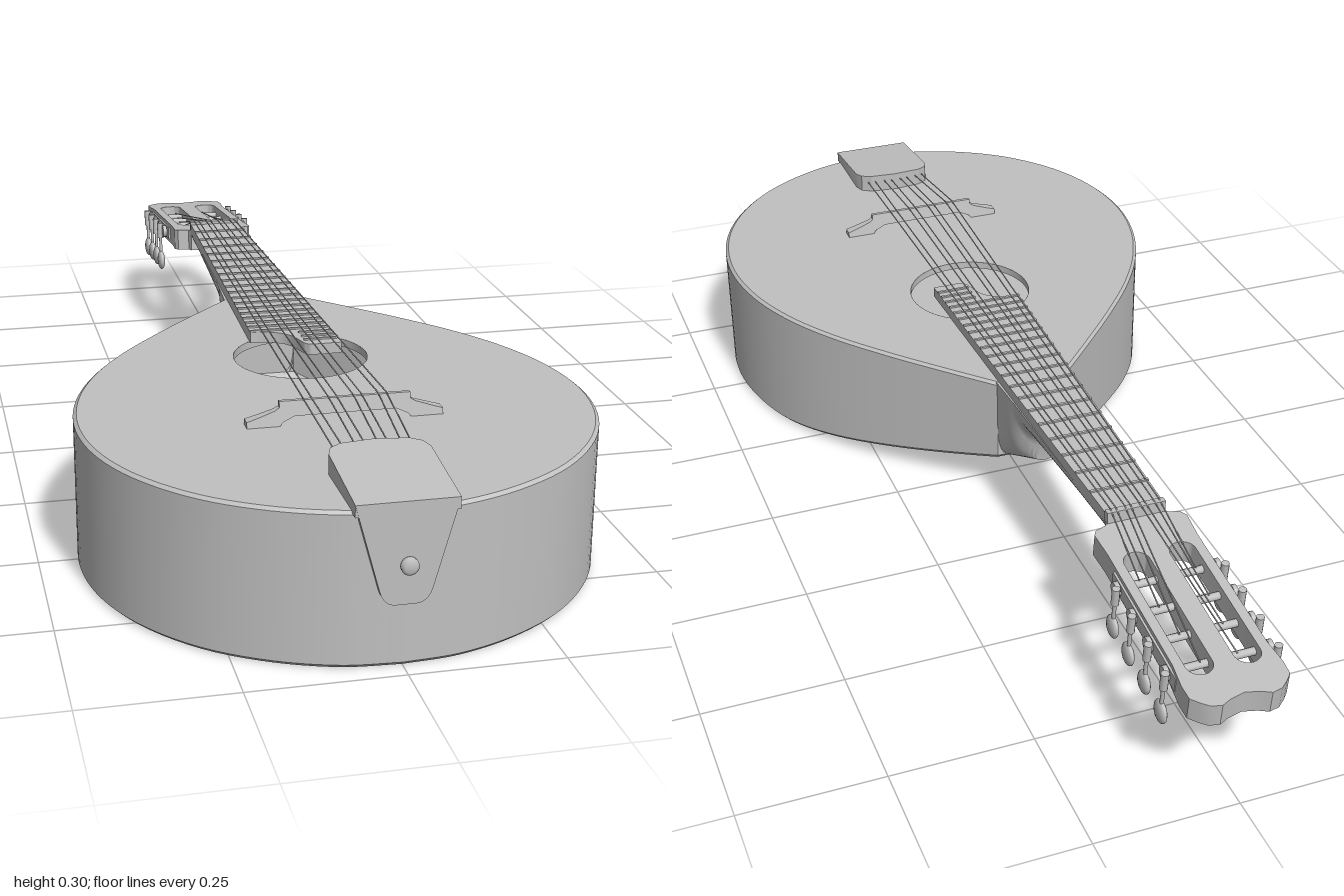
import * as THREE from 'three';
import { toCreasedNormals } from 'three/addons/utils/BufferGeometryUtils.js';

const V = (x, y, z) => new THREE.Vector3(x, y, z);

export function createModel() {
  const model = new THREE.Group();
  const grey = new THREE.MeshStandardMaterial({ color: 0xc0c0c0, side: THREE.DoubleSide });
  grey.name = 'plain grey';

  function add(name, geo, parent = model, x = 0, y = 0, z = 0) {
    const mesh = new THREE.Mesh(geo, grey);
    mesh.name = name;
    mesh.position.set(x, y, z);
    parent.add(mesh);
    return mesh;
  }
  // skin between rings of equal length
  function loft(rings, closed, crease = 0.6) {
    const n = rings[0].length, idx = [];
    for (let r = 0; r < rings.length - 1; r++)
      for (let i = 0; i < (closed ? n : n - 1); i++) {
        const a = r * n + i, b = r * n + (i + 1) % n;
        idx.push(a, a + n, b, b, a + n, b + n);
      }
    const geo = new THREE.BufferGeometry().setFromPoints(rings.flat());
    geo.setIndex(idx);
    geo.computeVertexNormals();
    return toCreasedNormals(geo, crease);
  }
  // shape seen from above, points given as [x, z]
  const plan = pts => new THREE.Shape(pts.map(p => new THREE.Vector2(p[0], -p[1])));
  const slab = (shape, y, depth) => {
    const geo = new THREE.ExtrudeGeometry(shape, { depth, bevelEnabled: false, curveSegments: 16 });
    return toCreasedNormals(geo.rotateX(-Math.PI / 2).translate(0, y, 0), 0.6);
  };
  const mirrored = half => half.concat(half.filter(p => p[0] > 0).reverse().map(p => [-p[0], p[1]]));
  const rod = (a, b, radius, sides = 6) =>
    new THREE.TubeGeometry(new THREE.LineCurve3(a, b), 1, radius, sides, false);

  // ---- body: teardrop with a back that rises toward the neck
  const TOP = 0.256;
  const half = new THREE.CatmullRomCurve3([
    [0.07, -0.08], [0.145, 0], [0.235, 0.1], [0.315, 0.2], [0.376, 0.3], [0.418, 0.41], [0.435, 0.53],
    [0.42, 0.65], [0.373, 0.76], [0.29, 0.86], [0.19, 0.926], [0.09, 0.962], [0, 0.971],
  ].map(p => V(p[0], 0, p[1]))).getPoints(60).map(p => [Math.max(p.x, 0), p.z]);
  half[60][0] = 0;
  const outline = mirrored(half);
  const backY = z => 0.088 * Math.max(0, (0.35 - z) / 0.43) ** 1.5;
  const inset = ([x, z]) => [x * 0.986, 0.5 + (z - 0.5) * 0.988];
  const rim = outline.map(inset);
  add('bodySides', loft([
    rim.map(([x, z]) => V(x, backY(z), z)),
    outline.map(([x, z]) => V(x, backY(z) + 0.006, z)),
    outline.map(([x, z]) => V(x, TOP - 0.005, z)),
    rim.map(([x, z]) => V(x, TOP, z)),
  ], true));
  const halfRim = half.map(inset);
  add('bodyBack', loft([
    halfRim.map(([x, z]) => V(x, backY(z), z)),
    halfRim.map(([x, z]) => V(-x, backY(z), z)),
  ], false));

  // ---- soundboard with round sound hole
  const board = plan(rim);
  board.holes.push(new THREE.Path().absarc(0, -0.28, 0.12, 0, Math.PI * 2, true));
  const boardGeo = new THREE.ShapeGeometry(board, 40);
  add('soundboard', boardGeo.rotateX(-Math.PI / 2), model, 0, TOP, 0);
  add('soundHoleRim', new THREE.CylinderGeometry(0.12, 0.12, 0.014, 48, 1, true), model, 0, TOP - 0.007, 0.28);

  // ---- neck and heel: [z, half width, underside y, squareness]
  const sections = [
    [-0.57, 0.052, 0.23, 2], [-0.45, 0.055, 0.219, 2], [-0.3, 0.061, 0.205, 2], [-0.22, 0.064, 0.196, 2],
    [-0.185, 0.065, 0.188, 2], [-0.165, 0.066, 0.172, 2], [-0.155, 0.066, 0.148, 2],
    [-0.15, 0.067, 0.112, 2], [-0.125, 0.068, 0.102, 2.6], [-0.075, 0.071, 0.088, 7],
  ];
  add('neck', loft(sections.map(([z, w, y, n]) => Array.from({ length: 25 }, (_, i) => {
    const a = Math.PI * i / 24, c = Math.cos(a), s = Math.abs(Math.sin(a));
    return V(w * Math.sign(c) * Math.abs(c) ** (2 / n), TOP - (TOP - y) * s ** (2 / n), z);
  })), true, 0.9));

  // ---- fretboard with a stepped, curved end
  const NUT = -0.56, BRIDGE = 0.6;
  const boardHalf = z => 0.052 + (z - NUT) * 0.029;
  const end = plan([[-0.052, NUT], [0.052, NUT], [boardHalf(0.28), 0.28], [0.022, 0.28]]);
  end.bezierCurveTo(0.0, -0.28, 0.012, -0.225, -0.025, -0.205);
  end.quadraticCurveTo(-0.05, -0.19, -boardHalf(0.19), -0.195);
  add('fretboard', slab(end, TOP, 0.02));
  for (let n = 1; n <= 21; n++) {
    const z = NUT + (BRIDGE - NUT) * (1 - 2 ** (-n / 12));
    const left = z > 0.19 ? 0.012 : -boardHalf(z), right = boardHalf(z);
    add('fret', new THREE.BoxGeometry(right - left, 0.004, 0.005), model, (left + right) / 2, 0.277, z);
  }
  add('nut', new THREE.BoxGeometry(0.106, 0.028, 0.012), model, 0, 0.268, NUT - 0.004);

  // ---- slotted headstock, tilted back
  const TILT = 0.112;
  const head = new THREE.Group();
  head.name = 'headstock';
  head.position.set(0, 0.262, NUT);
  head.rotation.x = -TILT;
  model.add(head);
  const headShape = plan(mirrored([
    [0.052, 0], [0.056, -0.012], [0.078, -0.02], [0.084, -0.03], [0.081, -0.08], [0.081, -0.34], [0.086, -0.385],
    [0.085, -0.412], [0.074, -0.424], [0.06, -0.436], [0.042, -0.44], [0.025, -0.432], [0, -0.426],
  ]));
  for (const s of [-1, 1]) {
    const slot = new THREE.Path();
    slot.absarc(s * 0.041, 0.35, 0.023, 0, Math.PI, false);
    slot.absarc(s * 0.041, 0.11, 0.023, Math.PI, Math.PI * 2, false);
    headShape.holes.push(slot);
  }
  add('headstockPlate', slab(headShape, -0.043, 0.043), head);

  // ---- tuning machines
  const pegZ = [-0.14, -0.205, -0.27, -0.335];
  for (const s of [-1, 1]) {
    add('tunerPlate', new THREE.BoxGeometry(0.004, 0.026, 0.25), head, s * 0.083, -0.021, -0.238);
    for (const z of pegZ) {
      add('tunerRoller', rod(V(s * 0.012, -0.02, z), V(s * 0.09, -0.02, z), 0.007, 10), head);
      add('tunerGear', new THREE.CylinderGeometry(0.013, 0.013, 0.008, 12).rotateZ(Math.PI / 2),
        head, s * 0.09, -0.02, z);
      add('tunerWorm', new THREE.CylinderGeometry(0.007, 0.007, 0.034, 10), head, s * 0.097, -0.02, z - 0.015);
      add('tunerShaft', rod(V(s * 0.097, -0.03, z - 0.015), V(s * 0.097, -0.075, z - 0.015), 0.0035), head);
      const knob = new THREE.SphereGeometry(1, 16, 10).scale(0.008, 0.021, 0.02);
      add('tunerKnob', knob, head, s * 0.097, -0.088, z - 0.015);
    }
  }

  // ---- bridge, raised between two feet
  const bridge = new THREE.Shape(mirrored([
    [0, 0.271], [0.085, 0.271], [0.105, 0.262], [0.11, TOP], [0.165, TOP], [0.165, 0.266],
    [0.145, 0.272], [0.118, 0.281], [0.11, 0.286], [0.11, 0.296], [0, 0.296],
  ]).map(p => new THREE.Vector2(...p)));
  const bridgeGeo = new THREE.ExtrudeGeometry(bridge, { depth: 0.024, bevelEnabled: false });
  // narrow the bridge toward its top edge
  const bp = bridgeGeo.attributes.position;
  for (let i = 0; i < bp.count; i++) {
    const k = 1 - 0.7 * (bp.getY(i) - TOP) / 0.04;
    bp.setZ(i, (bp.getZ(i) - 0.012) * k);
  }
  add('bridge', toCreasedNormals(bridgeGeo, 0.5), model, 0, 0, BRIDGE);

  // ---- tailpiece: sloped cover, hanging tab and strap button
  const cover = plan(mirrored([
    [0.08, 0.978], [0.081, 0.82], [0.074, 0.8], [0.055, 0.788], [0, 0.782],
  ]));
  const coverGeo = slab(cover, TOP - 0.004, 0.02);
  const cp = coverGeo.attributes.position;
  for (let i = 0; i < cp.count; i++)
    if (cp.getY(i) > TOP) cp.setY(i, 0.272 + (0.978 - cp.getZ(i)) * 0.105);
  add('tailpieceCover', toCreasedNormals(coverGeo, 0.4));
  const tab = new THREE.Shape();
  tab.moveTo(-0.08, 0.272);
  tab.lineTo(-0.041, 0.13);
  tab.quadraticCurveTo(-0.034, 0.106, -0.015, 0.106);
  tab.lineTo(0.015, 0.106);
  tab.quadraticCurveTo(0.034, 0.106, 0.041, 0.13);
  tab.lineTo(0.08, 0.272);
  add('tailpieceTab', new THREE.ExtrudeGeometry(tab, { depth: 0.012, bevelEnabled: false }), model, 0, 0, 0.967);
  const button = new THREE.LatheGeometry(
    [[0.008, 0], [0.008, 0.008], [0.014, 0.012], [0.014, 0.019], [0.009, 0.023], [0, 0.023]]
      .map(p => new THREE.Vector2(...p)), 20);
  add('strapButton', button.rotateX(Math.PI / 2), model, 0, 0.175, 0.977);

  // ---- four pairs of strings, from tailpiece over bridge and nut to the rollers
  for (let i = 0; i < 8; i++) {
    const pair = Math.floor(i / 2) - 1.5, off = i % 2 ? 1 : -1;
    const s = i < 4 ? -1 : 1, k = i < 4 ? i : 7 - i;
    const path = [
      V(pair * 0.036 + off * 0.008, 0.278, 0.79),
      V(pair * 0.042 + off * 0.007, 0.298, BRIDGE),
      V(pair * 0.026 + off * 0.005, 0.283, NUT),
      V(s * (0.05 - k * 0.006), 0.25 + pegZ[k] * TILT, NUT + pegZ[k]),
    ];
    for (let j = 0; j < 3; j++) add('string', rod(path[j], path[j + 1], 0.0013, 5));
  }
  return model;
}
